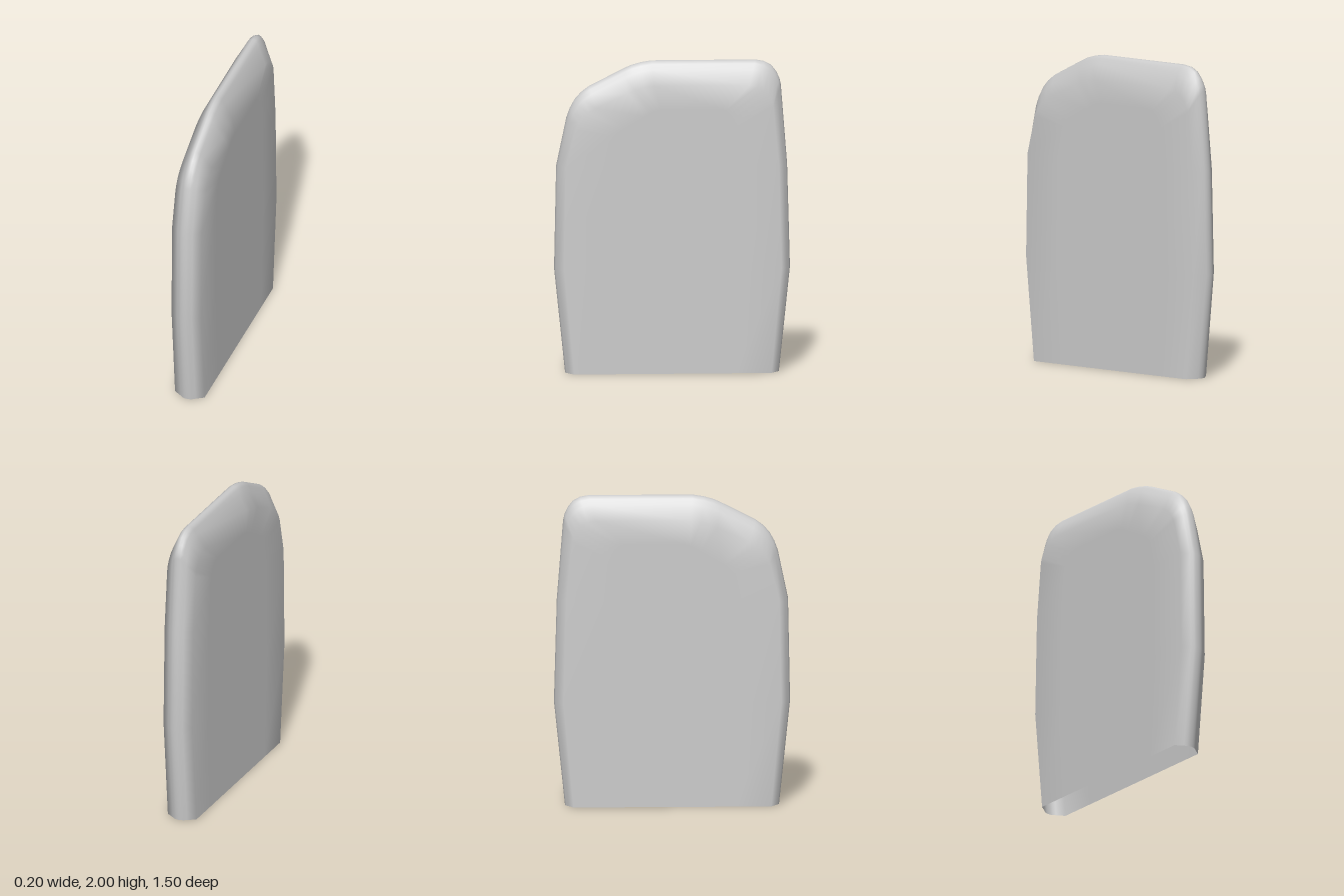
import * as THREE from 'three';
import { mergeVertices } from 'three/addons/utils/BufferGeometryUtils.js';

// Side outline [z, y], from the front foot over the top to the back foot
const OUTLINE = [
  [0.68, 0], [0.75, 0.67], [0.737, 1.33], [0.672, 1.64], [0.65, 1.7], [0.62, 1.755],
  [0.58, 1.8], [0.53, 1.838], [0.31, 1.95], [0.26, 1.972], [0.2, 1.989], [0.13, 2],
  [-0.53, 2], [-0.585, 1.99], [-0.63, 1.965], [-0.662, 1.925], [-0.683, 1.88],
  [-0.692, 1.84], [-0.732, 1.33], [-0.75, 0.67], [-0.68, 0],
];

// Half of the rim section: [x, scale of z, drop at the top], from crest to panel middle
const RIM = [
  [0, 1, 0], [0.017, 0.997, 0.005], [0.033, 0.988, 0.021], [0.05, 0.97, 0.055],
  [0.1, 0.922, 0.15], [0.1, 0.58, 0.3], [0.1, 0, 0.3],
];

function shellGeometry() {
  // Mirror the half section to run from the left panel over the crest to the right panel
  const section = [...RIM].reverse().concat(RIM.slice(1).map(([x, s, d]) => [-x, s, d]));
  const positions = [];
  const indices = [];
  const n = OUTLINE.length;
  section.forEach(([x, scale, drop], j) => {
    OUTLINE.forEach(([z, y], i) => {
      // Only the upper third is pulled down towards the panel
      positions.push(x, y - drop * THREE.MathUtils.smoothstep(y, 1.33, 2), z * scale);
      if (j > 0 && i > 0) {
        const d = j * n + i, c = d - 1, b = d - n, a = b - 1;
        indices.push(a, c, b, b, c, d);
      }
    });
  });
  let geometry = new THREE.BufferGeometry();
  geometry.setAttribute('position', new THREE.Float32BufferAttribute(positions, 3));
  geometry.setIndex(indices);
  geometry = mergeVertices(geometry, 1e-4);
  geometry.computeVertexNormals();
  return geometry;
}

export function createModel() {
  const group = new THREE.Group();
  group.name = 'paddedPanel';
  // Thin hollow shell, open at the foot
  const shell = new THREE.Mesh(
    shellGeometry(),
    new THREE.MeshStandardMaterial({ color: 0xcccccc, side: THREE.DoubleSide }),
  );
  shell.name = 'panelShell';
  group.add(shell);
  return group;
}
